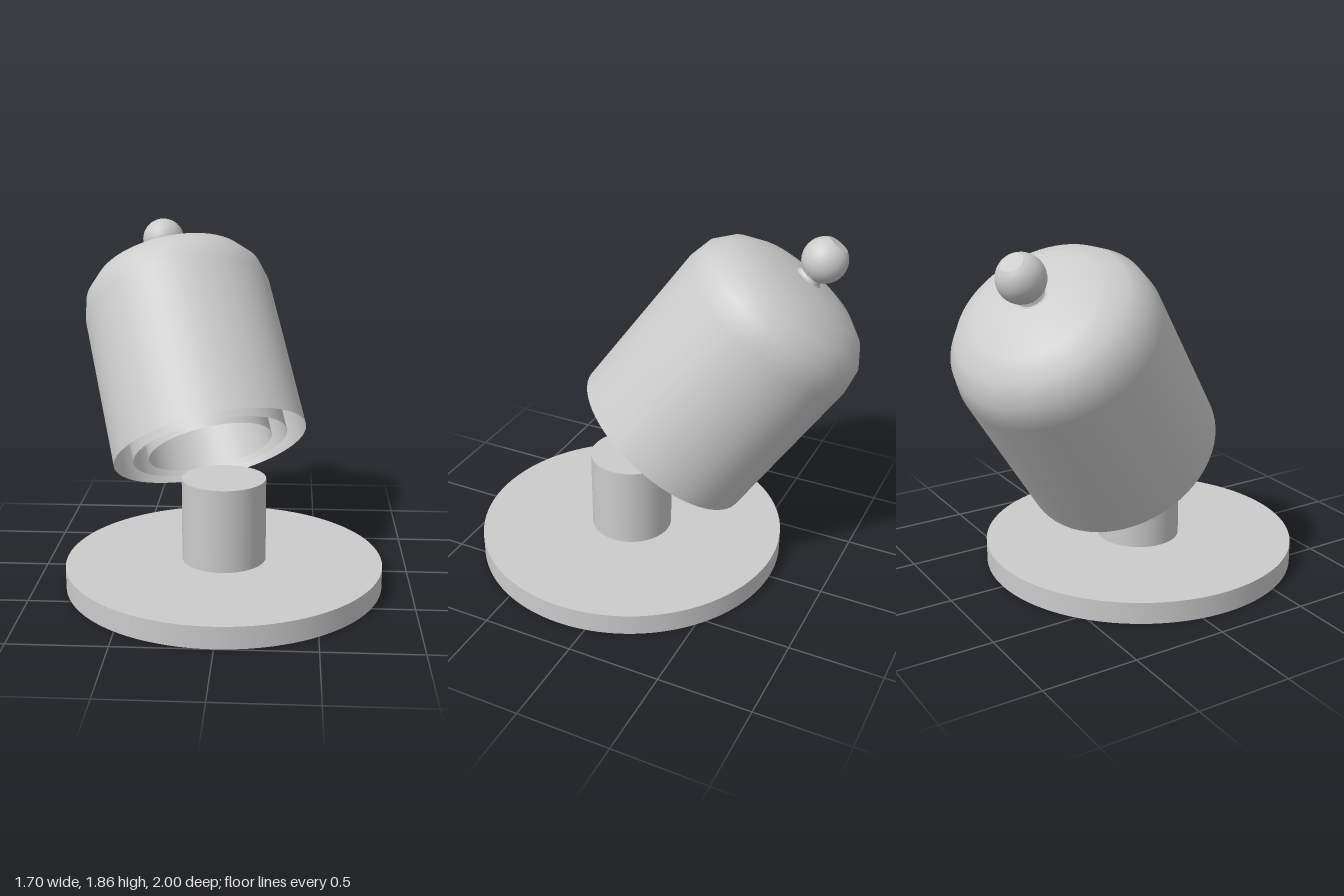
import * as THREE from 'three';
import { toCreasedNormals } from 'three/addons/utils/BufferGeometryUtils.js';

const material = new THREE.MeshStandardMaterial({ color: 0xcccccc });
const thin = new THREE.MeshStandardMaterial({ color: 0xcccccc, side: THREE.DoubleSide });

function add(parent, name, geometry, mat = material) {
  const mesh = new THREE.Mesh(geometry, mat);
  mesh.name = name;
  parent.add(mesh);
  return mesh;
}

function lathe(points) {
  return new THREE.LatheGeometry(points.map(([r, y]) => new THREE.Vector2(r, y)), 64);
}

export function createModel() {
  const model = new THREE.Group();
  model.name = 'tiltedBellOnStand';

  // Round stand and the post that floats just above it
  add(model, 'base', new THREE.CylinderGeometry(0.85, 0.85, 0.116, 96)).position.set(0, 0.058, 0.15);
  add(model, 'post', new THREE.CylinderGeometry(0.225, 0.225, 0.45, 64)).position.set(0, 0.35, 0.15);

  // Bell group, tilted back and to the model's right, origin at the rim centre
  const bell = new THREE.Group();
  bell.name = 'bell';
  bell.position.set(-0.083, 0.688, -0.025);
  const axis = new THREE.Vector3(-0.245, 0.797, -0.552).normalize();
  bell.quaternion.setFromUnitVectors(new THREE.Vector3(0, 1, 0), axis);
  model.add(bell);

  // Three thin nested shells sharing one rim plane
  const profile = [[0.535, 0], [0.535, 0.88], [0.51, 1.0], [0.44, 1.09], [0.33, 1.15], [0.18, 1.188], [0, 1.2]];
  ['outerShell', 'middleShell', 'innerShell'].forEach((name, i) => {
    const s = 0.8 ** i;
    add(bell, name, lathe(profile.map(([r, y]) => [r * s, y * s])), thin);
  });

  // Ball knob with a flared neck and a small flat on top
  const knob = [[0.09, 1.185], [0.068, 1.2], [0.062, 1.215]];
  for (let i = 0; i <= 12; i++) {
    const a = THREE.MathUtils.lerp(-1.0, 1.07, i / 12);
    knob.push([0.12 * Math.cos(a), 1.32 + 0.12 * Math.sin(a)]);
  }
  knob.push([0, 1.427]);
  add(bell, 'knob', toCreasedNormals(lathe(knob), 0.45));

  return model;
}
